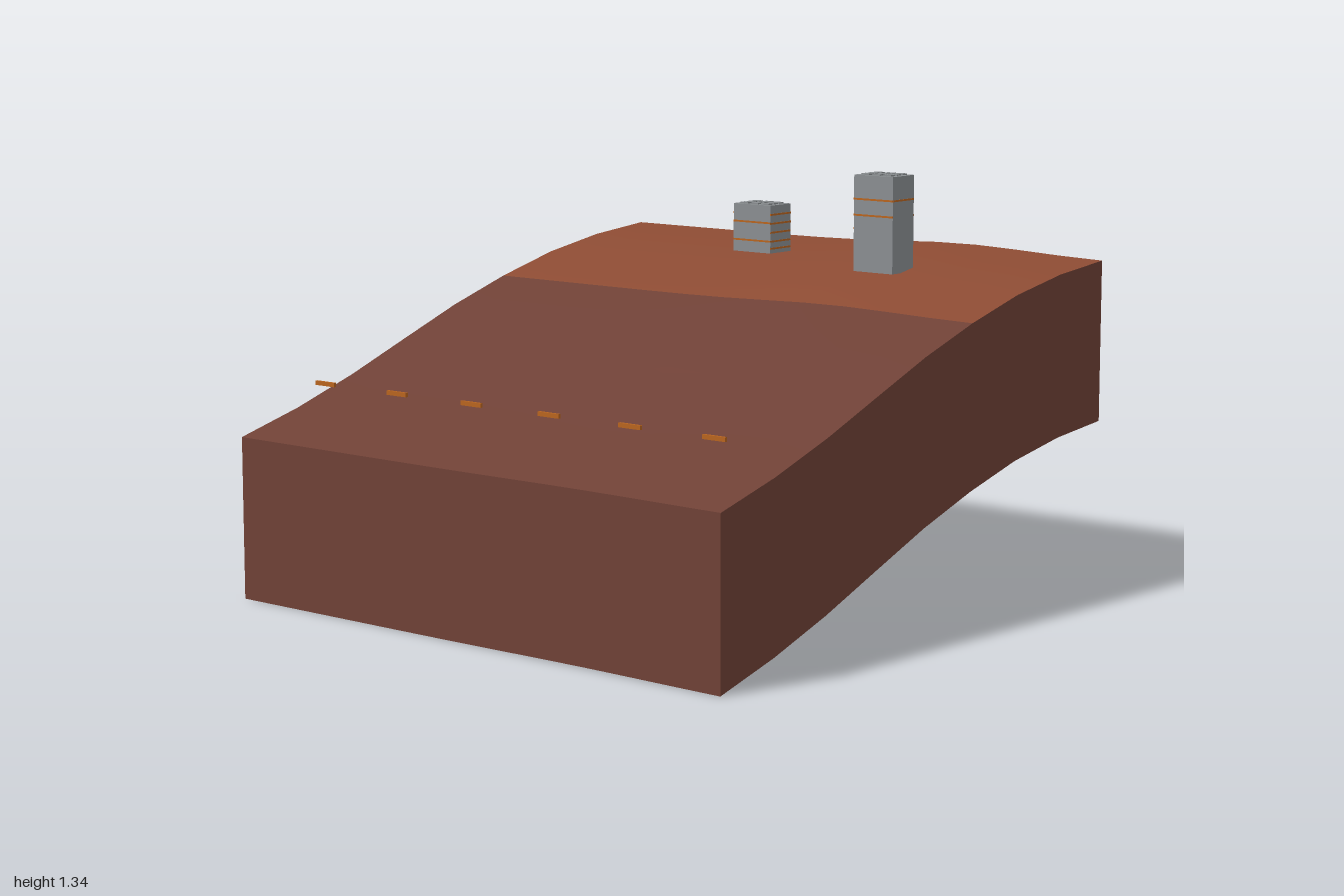
import * as THREE from 'three';

const DEPTH = 0.525, HALF = 0.98, BACK = -0.955, FRONT = 1.0, SEG = 8;
const PROFILE = [0.525, 0.59, 0.67, 0.762, 0.853, 0.93, 0.993, 1.035, 1.058];

function material(name, color, side = THREE.FrontSide) {
  const m = new THREE.MeshStandardMaterial({ color, side });
  m.name = name;
  return m;
}

// Ground height: a straight-segmented slope with a faint ridge running uphill
function height(x, z) {
  const t = THREE.MathUtils.clamp((x + HALF) / (2 * HALF), 0, 1);
  const i = Math.min(Math.floor(t * SEG + 1e-6), SEG - 1);
  const y = THREE.MathUtils.lerp(PROFILE[i], PROFILE[i + 1], t * SEG - i);
  const d = (z - 0.46) / 0.36;
  return y + (0.003 + 0.017 * t) * Math.exp(-d * d);
}

// Grid surface whose points are given by f(u, v)
function sheet(name, nu, nv, f, mat) {
  const geo = new THREE.PlaneGeometry(1, 1, nu, nv);
  const p = geo.attributes.position;
  for (let i = 0; i < p.count; i++) p.setXYZ(i, ...f(p.getX(i) + 0.5, p.getY(i) + 0.5));
  geo.computeVertexNormals();
  const mesh = new THREE.Mesh(geo, mat);
  mesh.name = name;
  return mesh;
}

function box(name, w, h, d, x, y, z, mat) {
  const mesh = new THREE.Mesh(new THREE.BoxGeometry(w, h, d), mat);
  mesh.name = name;
  mesh.position.set(x, y, z);
  return mesh;
}

export function createModel() {
  const earth = material('dark earth', 0x6f4136, THREE.DoubleSide);
  const clay = material('red clay', 0x8c4b33, THREE.DoubleSide);
  const concrete = material('grey concrete', 0x8a8e91);
  const orange = material('orange', 0xb8641f);
  const model = new THREE.Group();
  model.name = 'hillside';
  const lerp = THREE.MathUtils.lerp;

  // Ground surface in two colours
  const ground = (name, x0, x1, n, mat) => model.add(sheet(name, n, 12, (u, v) => {
    const x = lerp(x0, x1, u), z = lerp(FRONT, BACK, v);
    return [x, height(x, z), z];
  }, mat));
  ground('lowerGround', -HALF, 0.245, 5, earth);
  ground('upperGround', 0.245, HALF, 3, clay);

  // Skirt walls; the underside is open and follows the ground
  const wall = (name, n, xa, za, xb, zb) => model.add(sheet(name, n, 1, (u, v) => {
    const x = lerp(xa, xb, u), z = lerp(za, zb, u);
    return [x, height(x, z) - DEPTH * (1 - v), z];
  }, earth));
  wall('frontWall', SEG, -HALF, FRONT, HALF, FRONT);
  wall('backWall', SEG, HALF, BACK, -HALF, BACK);
  wall('leftWall', 12, HALF, FRONT, HALF, BACK);
  wall('rightWall', 12, -HALF, BACK, -HALF, FRONT);

  // Dashed marker line across the lower slope
  for (let i = 0; i < 6; i++) {
    model.add(box('marker', 0.01, 0.014, 0.086, -0.607, 0.652, -0.957 + i * 0.3265, orange));
  }

  // Towers: block, low roof panels and thin bands on each face
  const T = 0.003, BAND = 0.006;
  function tower(name, x, z, w, d, y0, y1, bands) {
    const g = new THREE.Group();
    g.name = name;
    g.add(box('block', w, y1 - y0, d, x, (y0 + y1) / 2, z, concrete));
    for (const i of [-1, 0, 1]) for (const k of [-1, 0, 1]) {
      g.add(box('roofPanel', w * 0.2, 0.005, d * 0.2, x + i * w * 0.28, y1 + 0.002, z + k * d * 0.28, concrete));
    }
    for (const y of bands.front) g.add(box('frontBand', w, BAND, T, x, y, z + d / 2, orange));
    for (const y of bands.back) g.add(box('backBand', w, BAND, T, x, y, z - d / 2, orange));
    for (const y of bands.left) g.add(box('leftBand', T, BAND, d, x + w / 2, y, z, orange));
    for (const y of bands.right) g.add(box('rightBand', T, BAND, d, x - w / 2, y, z, orange));
    model.add(g);
  }
  tower('tallTower', 0.567, 0.428, 0.115, 0.155, 1.02, 1.334, {
    front: [1.256], left: [1.256, 1.204], back: [1.256, 1.16], right: [1.256, 1.204],
  });
  tower('shortTower', 0.65, -0.138, 0.11, 0.157, 1.04, 1.201, {
    front: [1.17, 1.14, 1.11, 1.08, 1.056], left: [1.142, 1.11, 1.08],
    back: [1.17, 1.11], right: [1.142, 1.08],
  });
  return model;
}
